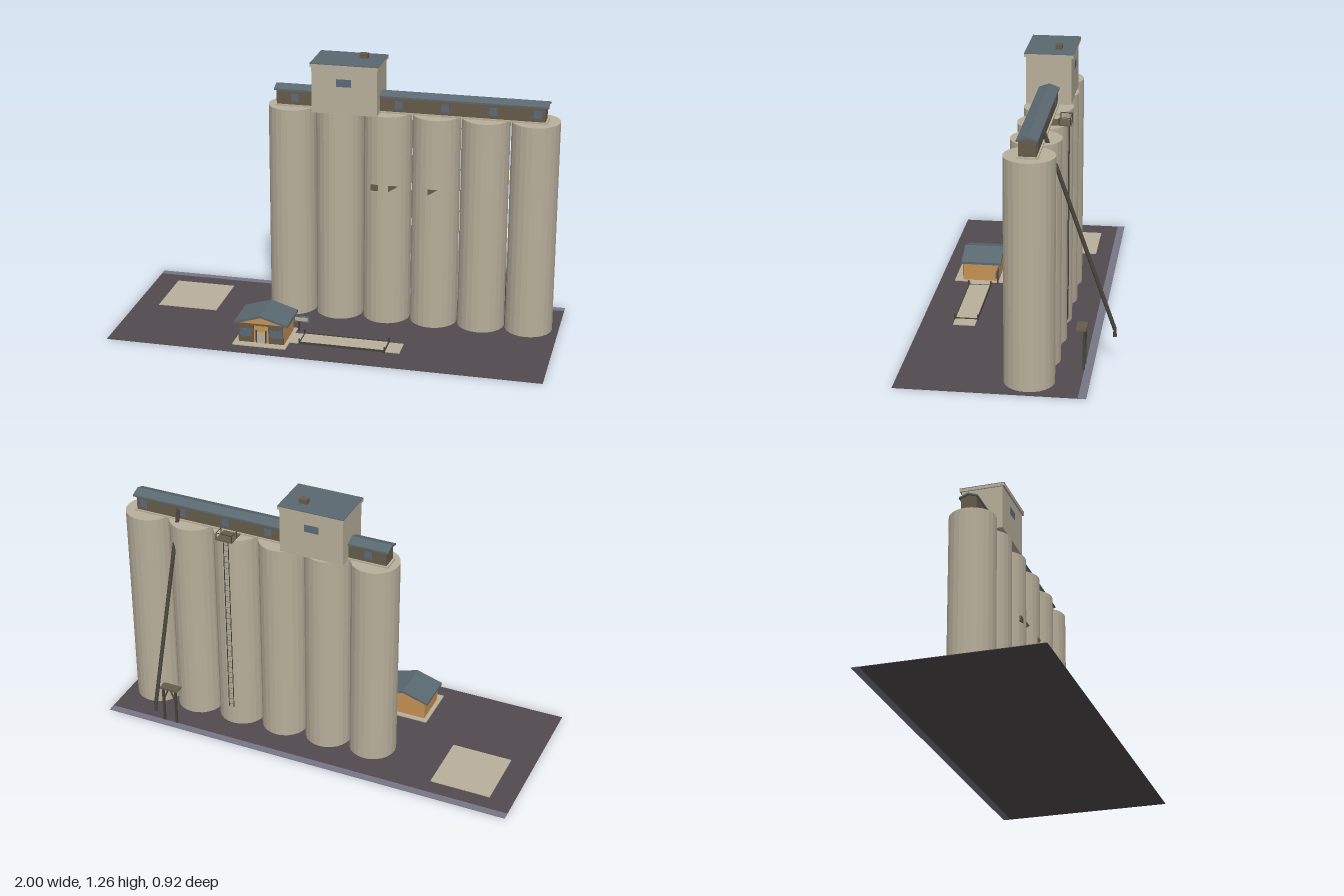
import * as THREE from 'three';

const mat = (name, color, side = THREE.FrontSide) => {
  const m = new THREE.MeshStandardMaterial({ color, flatShading: true, side });
  m.name = name;
  return m;
};

export function createModel() {
  const concrete = mat('concrete', 0xb8af9b);
  const asphalt = mat('asphalt', 0x514b4f);
  const track = mat('track', 0x767686);
  const roofing = mat('roofing', 0x5a6870);
  const brown = mat('brownSteel', 0x655b49);
  const dark = mat('darkSteel', 0x46433a);
  const timber = mat('orangeTimber', 0xc69253);
  const glass = mat('glass', 0x5b6a78);

  const model = new THREE.Group();
  model.name = 'grainElevator';

  const add = (name, geo, material, parent = model) => {
    const mesh = new THREE.Mesh(geo, material);
    mesh.name = name;
    parent.add(mesh);
    return mesh;
  };
  // Box given by its limits on each axis
  const box = (name, material, x0, x1, y0, y1, z0, z1, parent) => {
    const geo = new THREE.BoxGeometry(x1 - x0, y1 - y0, z1 - z0);
    geo.translate((x0 + x1) / 2, (y0 + y1) / 2, (z0 + z1) / 2);
    return add(name, geo, material, parent);
  };
  // Round bar between two points
  const bar = (name, material, a, b, r, parent, sides = 8) => {
    const p = new THREE.Vector3(...a), q = new THREE.Vector3(...b);
    const mesh = add(name, new THREE.CylinderGeometry(r, r, p.distanceTo(q), sides), material, parent);
    mesh.position.copy(p).lerp(q, 0.5);
    mesh.quaternion.setFromUnitVectors(new THREE.Vector3(0, 1, 0), q.sub(p).normalize());
    return mesh;
  };
  // Prism along z from outline points, centred on its length
  const prism = (points, length) => {
    const shape = new THREE.Shape(points.map(p => new THREE.Vector2(...p)));
    const geo = new THREE.ExtrudeGeometry(shape, { depth: length, bevelEnabled: false });
    return geo.translate(0, 0, -length / 2);
  };
  const gableRoof = (half, eave, ridge, t, length) => prism([
    [-half, eave - t], [0, ridge - t], [half, eave - t], [half, eave], [0, ridge], [-half, eave]], length);
  const group = (name) => {
    const g = new THREE.Group();
    g.name = name;
    model.add(g);
    return g;
  };

  // Yard
  box('yard', asphalt, -1, 1, 0, 0.002, -0.325, 0.46);
  box('railStrip', track, -1, 1, 0, 0.003, -0.36, -0.325);
  box('storagePad', concrete, -0.89, -0.605, 0.002, 0.005, -0.25, 0.045);

  // Row of six silos
  const silos = group('silos');
  for (let i = 0; i < 6; i++) {
    const silo = add('silo', new THREE.CylinderGeometry(0.11, 0.11, 1.008, 24), concrete, silos);
    silo.position.set(-0.26 + i * 0.224, 0.506, -0.105);
  }

  // Small plates on the silo fronts
  box('squarePlate', brown, 0.13, 0.165, 0.656, 0.684, -0.006, 0.003);
  for (const x of [0.212, 0.395]) {
    const flag = add('trianglePlate', prism([[0, 0.656], [0.043, 0.684], [0, 0.684]], 0.009), brown);
    flag.position.set(x, 0, x < 0.3 ? 0.0015 : 0.003);
  }

  // Conveyor gallery along the silo tops
  const gallery = group('gallery');
  box('galleryCurb', concrete, -0.335, 0.915, 1.01, 1.017, -0.147, -0.058, gallery);
  box('galleryWalls', brown, -0.325, 0.905, 1.017, 1.09, -0.14, -0.065, gallery);
  const galleryRoof = add('galleryRoof', gableRoof(0.045, 1.09, 1.106, 0.008, 1.255), roofing, gallery);
  galleryRoof.rotation.y = Math.PI / 2;
  galleryRoof.position.set(0.292, 0, -0.1025);
  const gable = add('galleryGable', prism([[-0.037, 1.08], [0.037, 1.08], [0, 1.1]], 1.23), brown, gallery);
  gable.rotation.y = Math.PI / 2;
  gable.position.set(0.29, 0, -0.1025);
  for (const x of [-0.24, 0.243, 0.455, 0.672, 0.87])
    for (const z of [-0.1415, -0.0655])
      box('galleryWindow', glass, x - 0.018, x + 0.018, 1.032, 1.068, z, z + 0.002, gallery);

  // Headhouse
  const head = group('headhouse');
  box('headhouseWalls', concrete, -0.145, 0.157, 1.008, 1.225, -0.2, 0, head);
  box('cornice', concrete, -0.151, 0.163, 1.223, 1.238, -0.209, 0.009, head);
  box('headhouseRoof', roofing, -0.151, 0.163, 1.238, 1.241, -0.209, 0.009, head);
  box('roofVent', brown, 0.048, 0.087, 1.241, 1.262, -0.15, -0.12, head);
  for (const z of [-0.202, 0])
    box('headhouseWindow', glass, -0.03, 0.038, 1.137, 1.172, z, z + 0.002, head);

  // Loading spout running down behind the silos
  const spout = group('loadingSpout');
  bar('spoutPipe', dark, [0.69, 1.065, -0.14], [0.69, 0.185, -0.45], 0.009, spout, 10);
  const nozzle = add('spoutNozzle', new THREE.CylinderGeometry(0.006, 0.009, 0.035, 10), dark, spout);
  nozzle.position.set(0.69, 0.168, -0.451);

  // Loading stand beside the track
  const stand = group('loadingStand');
  box('standDeck', brown, 0.643, 0.735, 0.183, 0.19, -0.332, -0.286, stand);
  for (const s of [-1, 1]) {
    const x = 0.689 + s * 0.032;
    box('standPost', dark, x - 0.005, x + 0.005, 0.002, 0.183, -0.327, -0.317, stand);
    bar('standBrace', dark, [x, 0.12, -0.322], [0.689 + s * 0.005, 0.183, -0.322], 0.004, stand);
  }

  // Access platform with railing and ladder
  const access = group('accessPlatform');
  box('platformDeck', brown, 0.377, 0.46, 1.008, 1.014, -0.232, -0.14, access);
  for (const x of [0.38, 0.457])
    for (const z of [-0.229, -0.18])
      bar('railPost', dark, [x, 1.012, z], [x, 1.044, z], 0.002, access, 6);
  bar('backRail', dark, [0.38, 1.044, -0.229], [0.457, 1.044, -0.229], 0.002, access, 6);
  for (const x of [0.38, 0.457])
    bar('sideRail', dark, [x, 1.044, -0.229], [x, 1.044, -0.18], 0.002, access, 6);
  for (const x of [0.403, 0.427])
    bar('ladderRail', dark, [x, 0.1, -0.219], [x, 1.01, -0.219], 0.002, access, 6);
  for (let i = 0; i < 30; i++)
    bar('ladderRung', dark, [0.403, 0.115 + i * 0.03, -0.219], [0.427, 0.115 + i * 0.03, -0.219], 0.001, access, 4);

  // Scale office
  const office = group('office');
  box('officeSlab', concrete, -0.425, -0.175, 0.002, 0.006, 0.155, 0.39, office);
  const walls = add('officeWalls', prism(
    [[-0.107, 0.005], [0.107, 0.005], [0.107, 0.097], [0, 0.131], [-0.107, 0.097]], 0.17), timber, office);
  walls.position.set(-0.298, 0, 0.265);
  const roof = add('officeRoof', gableRoof(0.125, 0.104, 0.142, 0.011, 0.19), roofing, office);
  roof.position.set(-0.298, 0, 0.262);
  box('frontBeam', brown, -0.405, -0.191, 0.09, 0.098, 0.35, 0.353, office);
  for (const s of [-1, 1]) {
    const x = -0.298 + s * 0.07;
    box('frontPanel', brown, x - 0.036, x + 0.036, 0.006, 0.09, 0.35, 0.352, office);
    box('frontWindow', glass, x - 0.028, x + 0.028, 0.036, 0.072, 0.352, 0.354, office);
    box('doorJamb', dark, -0.298 + s * 0.022 - 0.003, -0.298 + s * 0.022 + 0.003, 0.006, 0.068, 0.35, 0.354, office);
  }
  box('door', concrete, -0.317, -0.279, 0.006, 0.058, 0.35, 0.352, office);

  // Sign board beside the office
  box('signPost', dark, -0.168, -0.161, 0.002, 0.08, 0.178, 0.184);
  box('signBoard', glass, -0.19, -0.115, 0.05, 0.08, 0.178, 0.183);
  box('signFace', concrete, -0.183, -0.122, 0.056, 0.074, 0.183, 0.185);

  // Truck scale with ramps, edge rails and bollards
  const scale = group('truckScale');
  box('scaleRamps', concrete, -0.175, 0.335, 0.002, 0.006, 0.212, 0.312, scale);
  box('scaleDeck', concrete, -0.128, 0.265, 0.006, 0.009, 0.214, 0.31, scale);
  for (const z of [0.21, 0.312])
    box('scaleEdge', dark, -0.13, 0.267, 0.002, 0.012, z - 0.002, z + 0.002, scale);
  for (const x of [-0.129, 0.266]) {
    box('scaleJoint', dark, x - 0.003, x + 0.003, 0.004, 0.0095, 0.212, 0.312, scale);
    for (const z of [0.209, 0.315])
      bar('bollard', dark, [x, 0.002, z], [x, 0.028, z], 0.004, scale);
  }

  return model;
}
